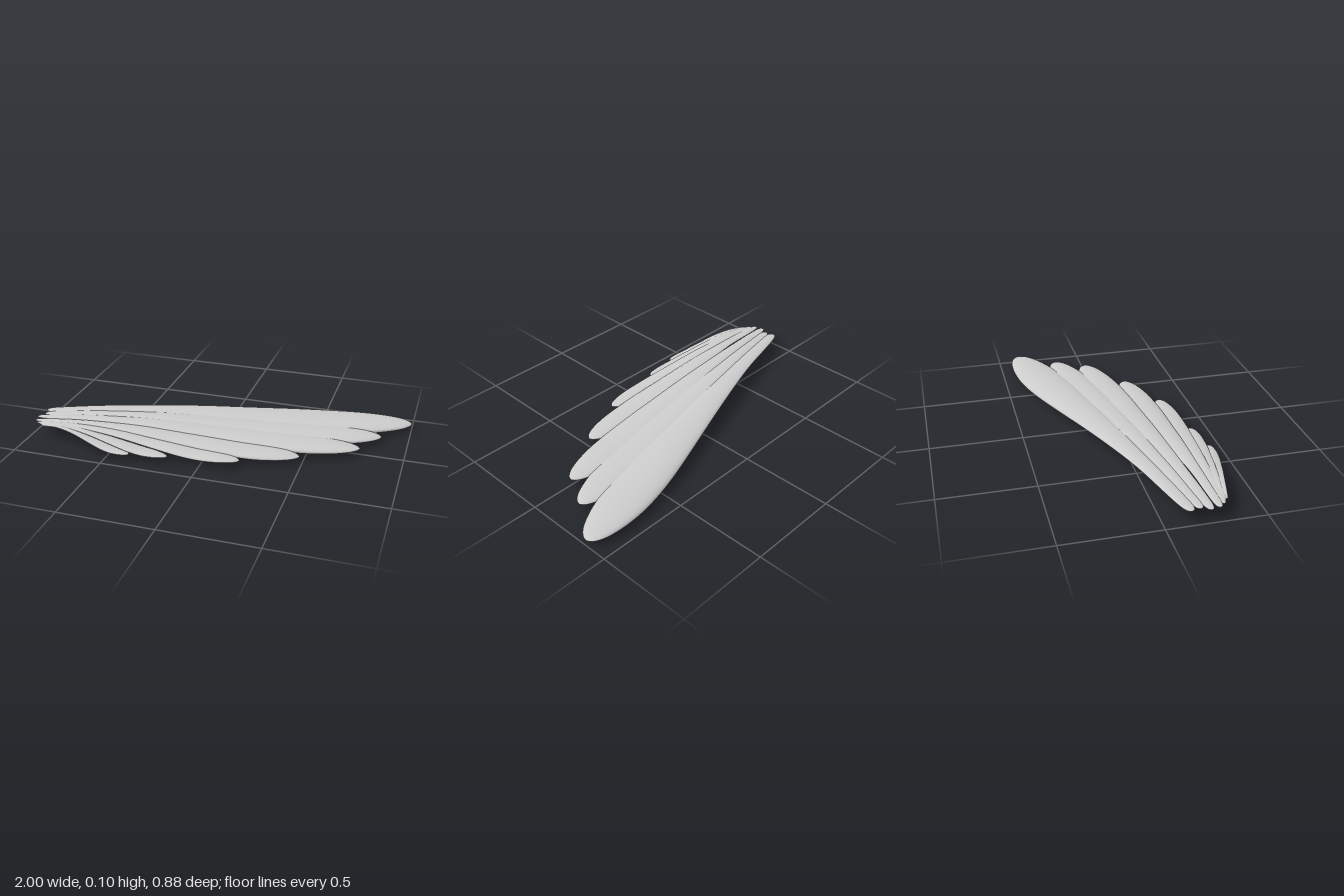
import * as THREE from 'three';
import { mergeVertices } from 'three/addons/utils/BufferGeometryUtils.js';

// Half-width along a feather: x = fraction of length, y = fraction of widest half-width
const outline = new THREE.SplineCurve([
  [0, 0], [0.003, 0.11], [0.012, 0.19], [0.035, 0.25], [0.1, 0.3], [0.25, 0.39], [0.5, 0.71],
  [0.7, 0.97], [0.82, 0.99], [0.9, 0.84], [0.96, 0.57], [0.99, 0.28], [1, 0],
].map(([t, w]) => new THREE.Vector2(t, w)));

// Height of the feather's centre line, at even steps from root to tip
const arch = new THREE.SplineCurve(
  [0.076, 0.091, 0.084, 0.06, 0.039, 0.037].map((y, i) => new THREE.Vector2(i / 5, y)));

const THICKNESS = 0.28; // height to width of the oval cross-section

function featherGeometry(length, halfWidth) {
  const profile = outline.getPoints(60).map((p) =>
    new THREE.Vector2(Math.max(p.y, 0), THREE.MathUtils.clamp(p.x, 0, 1)));
  let geo = new THREE.LatheGeometry(profile, 32);
  geo.deleteAttribute('uv');
  geo.deleteAttribute('normal');
  // Lay the turned body along x, flatten it and bend it over the arch
  const pos = geo.attributes.position;
  for (let i = 0; i < pos.count; i++) {
    const t = pos.getY(i);
    pos.setXYZ(i, t * length,
      arch.getPoint(t).y + pos.getX(i) * halfWidth * THICKNESS,
      -pos.getZ(i) * halfWidth);
  }
  geo = mergeVertices(geo, 1e-6);
  geo.computeVertexNormals();
  return geo;
}

export function createModel() {
  const wing = new THREE.Group();
  wing.name = 'wing';
  const material = new THREE.MeshStandardMaterial({ color: 0xcccccc });

  // Fanned feathers, longest first: root x, root z, tip x, tip z, half-width
  const feathers = [
    [-0.99, 0.13, 1.0, -0.385, 0.127],
    [-0.98, 0.175, 0.86, -0.17, 0.107],
    [-1.0, 0.22, 0.77, 0.0, 0.1],
    [-0.99, 0.265, 0.485, 0.185, 0.085],
    [-0.965, 0.29, 0.2, 0.32, 0.064],
    [-0.945, 0.3, -0.17, 0.39, 0.046],
    [-0.93, 0.315, -0.37, 0.425, 0.036],
  ];
  feathers.forEach(([x0, z0, x1, z1, halfWidth], i) => {
    const dx = x1 - x0, dz = z1 - z0;
    const feather = new THREE.Mesh(featherGeometry(Math.hypot(dx, dz), halfWidth), material);
    feather.name = `feather${i + 1}`;
    feather.position.set(x0, 0, z0);
    feather.rotation.y = Math.atan2(-dz, dx);
    wing.add(feather);
  });
  return wing;
}
